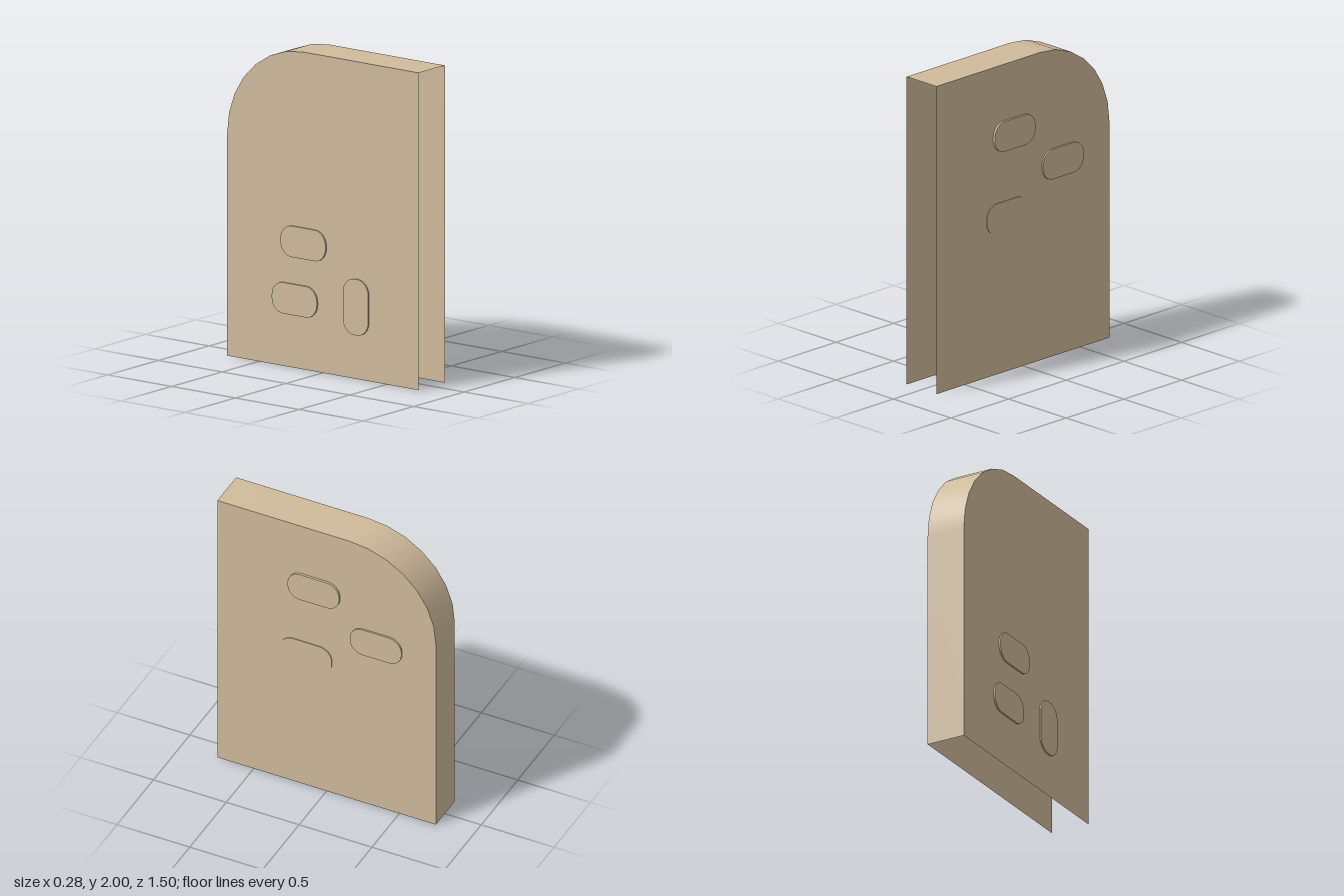
import * as THREE from 'three';

const tan = new THREE.MeshStandardMaterial({ color: 0xd0bb9c, side: THREE.DoubleSide });
tan.name = 'tan';

const LEFT = 0.123, RIGHT = -0.135; // x of the two side panels
const FRONT = 0.75, BACK = -0.75, HEIGHT = 2, RADIUS = 0.595, STEPS = 7;

// Outline of the wall as (-z, y): top front, round the corner, down the back
function wallProfile() {
  const points = [new THREE.Vector2(-FRONT, HEIGHT)];
  for (let i = 0; i <= STEPS; i++) {
    const a = (i / STEPS) * Math.PI / 2;
    points.push(new THREE.Vector2(
      -BACK - RADIUS + RADIUS * Math.sin(a),
      HEIGHT - RADIUS + RADIUS * Math.cos(a)));
  }
  points.push(new THREE.Vector2(-BACK, 0));
  return points;
}

// Smooth strip joining the two panels; the front and bottom stay open
function wallGeometry(profile) {
  const positions = [], index = [];
  profile.forEach((p, i) => {
    positions.push(RIGHT, p.y, -p.x, LEFT, p.y, -p.x);
    if (i > 0) {
      const k = 2 * i;
      index.push(k - 2, k - 1, k, k - 1, k + 1, k);
    }
  });
  const geometry = new THREE.BufferGeometry();
  geometry.setAttribute('position', new THREE.Float32BufferAttribute(positions, 3));
  geometry.setIndex(index);
  geometry.computeVertexNormals();
  return geometry;
}

// Rounded pad lying in the side plane, between x0 and x1
function padGeometry(z, y, length, height, x0, x1) {
  const w = length / 2, h = height / 2, r = 0.088;
  const shape = new THREE.Shape();
  shape.absarc(w - r, h - r, r, 0, Math.PI / 2);
  shape.absarc(r - w, h - r, r, Math.PI / 2, Math.PI);
  shape.absarc(r - w, r - h, r, Math.PI, Math.PI * 1.5);
  shape.absarc(w - r, r - h, r, Math.PI * 1.5, Math.PI * 2);
  const geometry = new THREE.ExtrudeGeometry(shape, {
    depth: x1 - x0, bevelEnabled: false, curveSegments: 4,
  });
  return geometry.rotateY(Math.PI / 2).translate(x0, y, z);
}

export function createModel() {
  const group = new THREE.Group();
  const add = (name, geometry) => {
    const mesh = new THREE.Mesh(geometry, tan);
    mesh.name = name;
    group.add(mesh);
  };

  // Shell: two thin panels and the wall around top and back
  const profile = wallProfile();
  const outline = new THREE.Shape([...profile, new THREE.Vector2(-FRONT, 0)]);
  for (const [name, x] of [['leftPanel', LEFT], ['rightPanel', RIGHT]]) {
    add(name, new THREE.ShapeGeometry(outline).rotateY(Math.PI / 2).translate(x, 0, 0));
  }
  add('topAndBackWall', wallGeometry(profile));

  // Raised pads: z, y, length, height, inner x, outer x
  const L = 0.353, S = 0.196;
  [
    ['leftPadTop', 0.083, 1.537, L, S, 0.125, 0.14],
    ['leftPadBack', -0.342, 1.252, L, S, 0.121, 0.134],
    ['leftPadLow', 0.139, 1.012, L, S, 0.117, 0.128],
    ['rightPadUpper', -0.149, 0.795, L, S, -0.145, -0.133],
    ['rightPadLower', -0.217, 0.43, L, S, -0.145, -0.133],
    ['rightPadUpright', 0.263, 0.453, S, L, -0.145, -0.133],
  ].forEach(([name, ...size]) => add(name, padGeometry(...size)));

  return group;
}
